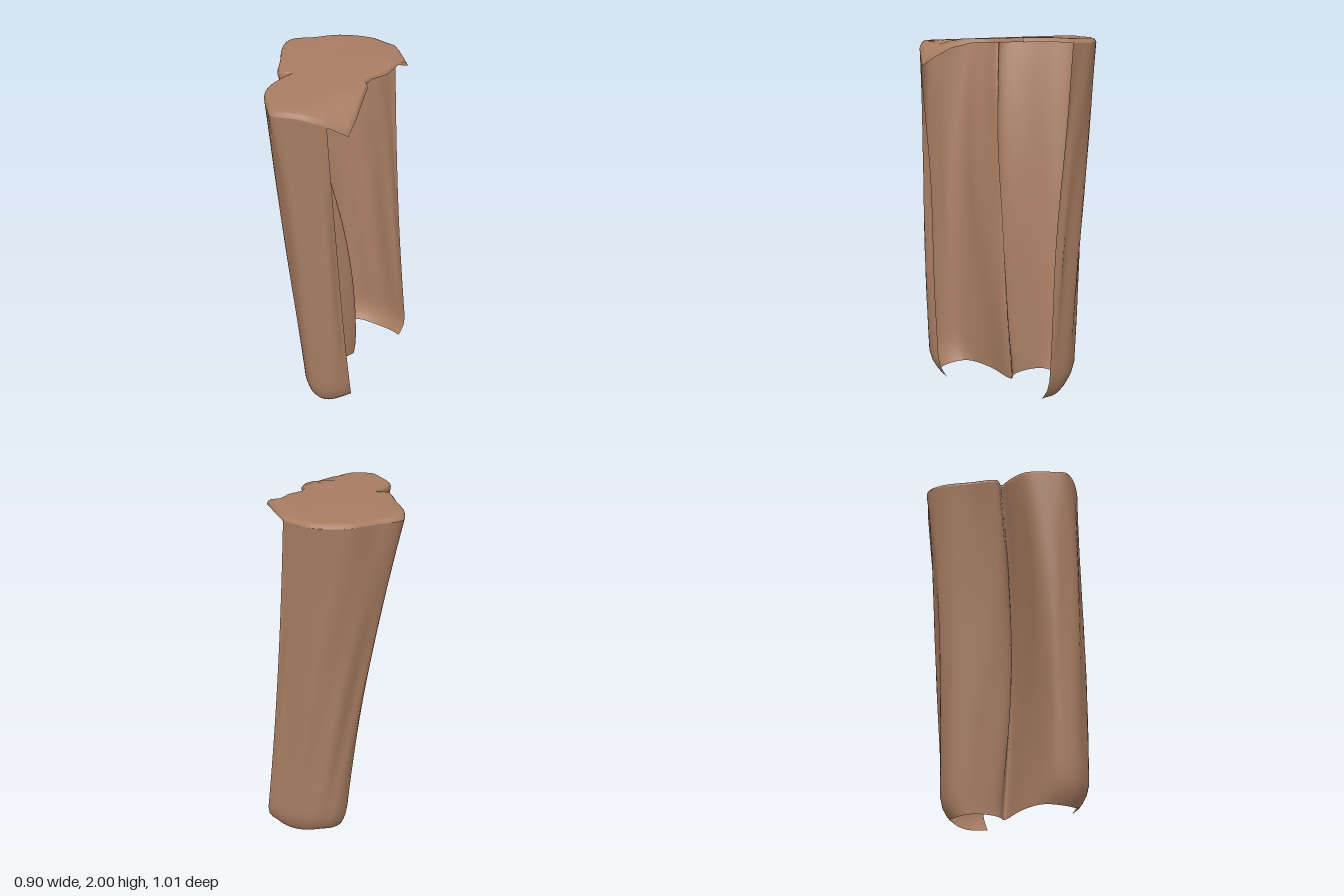
import * as THREE from 'three';

// Cross-section of the open shell, right front edge round to right back edge: [x, z]
const TOP = [[.40, .31], [.34, .40], [.22, .505], [.14, .48], [0, .40], [-.05, .29], [-.07, .20], [-.12, .24],
  [-.26, .14], [-.40, .03], [-.45, -.06], [-.40, -.17], [-.34, -.32], [-.20, -.44], [-.10, -.455], [-.03, -.465]];
const MID = [[.40, .23], [.405, .29], [.32, .40], [.22, .42], [.13, .37], [.11, .18], [.10, -.03], [.05, .05],
  [-.10, 0], [-.25, -.08], [-.29, -.14], [-.28, -.24], [-.24, -.34], [-.13, -.43], [0, -.46], [.06, -.47]];
const BASE = [[.43, .15], [.425, .22], [.38, .31], [.30, .345], [.17, .29], [.11, .08], [.10, -.13], [.05, -.10],
  [-.07, -.12], [-.18, -.17], [-.21, -.23], [-.20, -.32], [-.15, -.39], [-.07, -.45], [.05, -.50], [.16, -.51]];
// Ragged right edge of the cap, from back to front
const CAP_EDGE = [[.05, -.43], [.21, -.35], [.18, -.31], [.225, -.2], [.22, -.1], [.25, -.045], [.285, -.025],
  [.36, .07], [.41, .14], [.45, .22]];
const SEGMENTS = 75;

// Gently sloping cap that droops on the right
const capHeight = (x, z) => 1.983 - .05 * Math.max(0, z) - 4 * Math.max(0, x - .28) ** 2
  + .015 * Math.exp(-((x - .12) ** 2 + (z + .35) ** 2) / .03);

// Smooth section at height fraction t, blended through base, middle and top
function section(t) {
  const b = 2 * (t - .5) * (t - 1), m = 4 * t * (1 - t), p = 2 * t * (t - .5);
  const pts = TOP.map((q, i) => new THREE.Vector3(
    q[0] * p + MID[i][0] * m + BASE[i][0] * b, 0, q[1] * p + MID[i][1] * m + BASE[i][1] * b));
  return new THREE.CatmullRomCurve3(pts, false, 'centripetal').getPoints(SEGMENTS);
}

function surface(name, rows, closed, material) {
  const n = rows[0].length, index = [];
  for (let j = 0; j < rows.length - 1; j++) {
    for (let i = 0; i < (closed ? n : n - 1); i++) {
      const a = j * n + i, b = j * n + (i + 1) % n, c = a + n, d = b + n;
      index.push(a, c, d, a, d, b);
    }
  }
  const geometry = new THREE.BufferGeometry().setFromPoints(rows.flat());
  geometry.setIndex(index);
  geometry.computeVertexNormals();
  const mesh = new THREE.Mesh(geometry, material);
  mesh.name = name;
  return mesh;
}

export function createModel() {
  const group = new THREE.Group();
  group.name = 'barkPillar';
  const bark = new THREE.MeshStandardMaterial({ color: 0xa87d62, side: THREE.DoubleSide });
  bark.name = 'brown bark';

  // Leaning folded wall, rounded in at the foot, with shallow vertical ripples
  const levels = [0, .012, .035, .07];
  for (let k = 1; k <= 24; k++) levels.push(.07 + .93 * k / 24);
  const wallRows = levels.map((t) => {
    const tuck = .13 * Math.max(0, 1 - t / .07) ** 2;
    return section(t).map((p, i) => {
      const ripple = .006 * Math.sin(i * .9 + t * 7) * Math.sin(Math.PI * t);
      const top = capHeight(p.x, p.z) - .022;
      const y = t < .07 ? t * 2 + .008 * (1 + Math.sin(i * .35)) * (1 - t / .07) : t * top;
      return new THREE.Vector3(p.x + (.1 - p.x) * tuck + ripple, y, p.z + (-.05 - p.z) * tuck + ripple);
    });
  });
  group.add(surface('foldedWall', wallRows, false, bark));

  // Cap over the wall, with a softened rim and a torn right edge
  const outline = [...section(1), ...CAP_EDGE.map(([x, z]) => new THREE.Vector3(x, 0, z))];
  const capRows = [1, .985, .95, .8, .6, .4, .2, 0].map((s) => outline.map((p) => {
    const x = p.x * s, z = .05 + (p.z - .05) * s;
    const rim = s === 1 ? .022 : s === .985 ? .008 : 0;
    return new THREE.Vector3(x, capHeight(x, z) - rim, z);
  }));
  group.add(surface('topCap', capRows, true, bark));
  return group;
}
